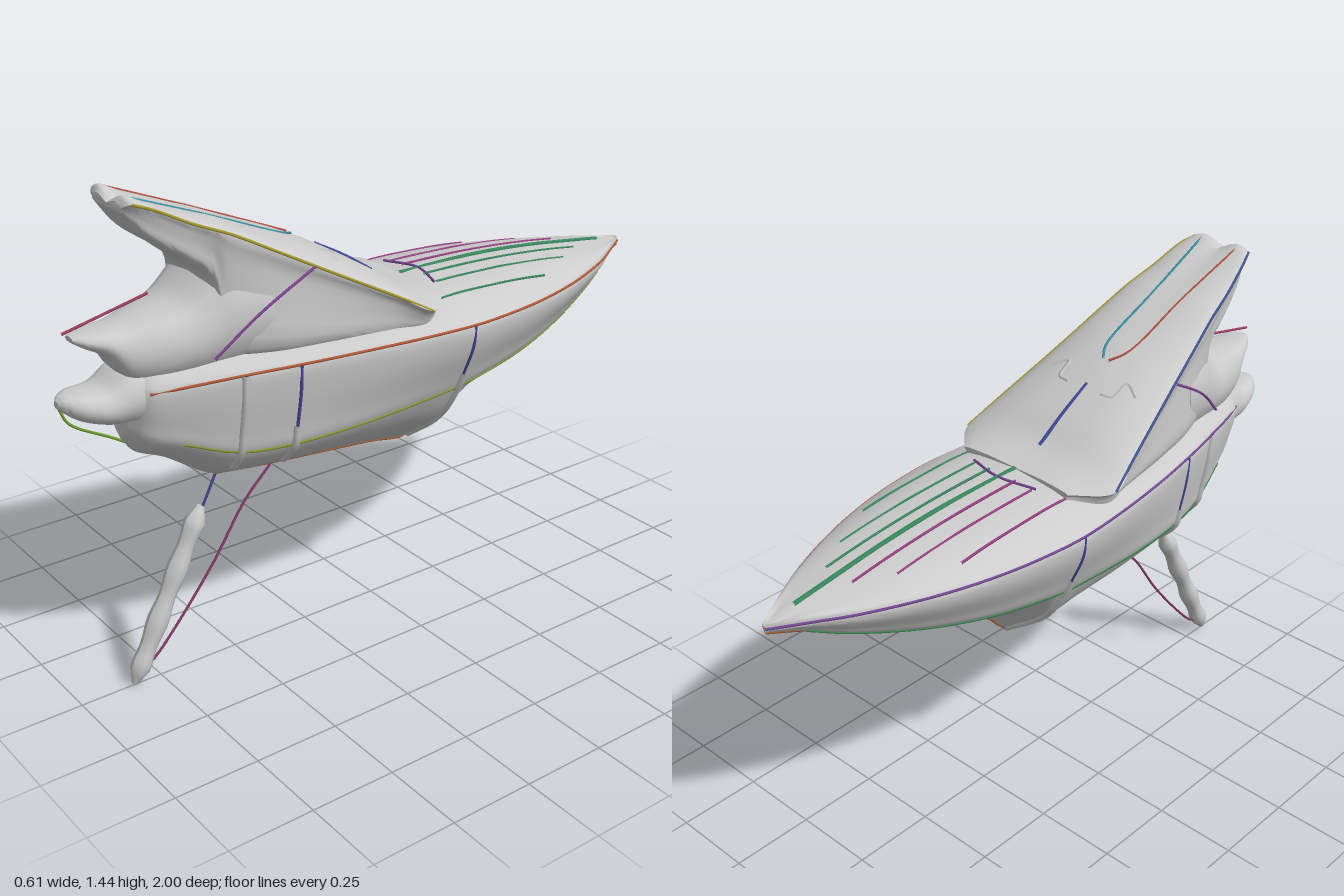
import * as THREE from 'three';
import { toCreasedNormals } from 'three/addons/utils/BufferGeometryUtils.js';

const grey = new THREE.MeshStandardMaterial({ color: 0xcccccc });
const V = (x, y, z) => new THREE.Vector3(x, y, z);

// Skin over mirrored half sections, each running from top centre to bottom centre.
// Stations are ordered by increasing z: { z, half: [[x, y], ...] }.
function loft(stations, nz = 48, nh = 24) {
  const rings = stations.map(({ z, half }) => {
    const c = new THREE.CatmullRomCurve3(half.map(([x, y]) => V(x, y, z)));
    const right = Array.from({ length: nh + 1 }, (_, i) => c.getPoint(i / nh));
    const left = right.slice(1, -1).reverse().map(p => V(-p.x, p.y, p.z));
    return [...right, ...left];
  });
  const n = rings[0].length;
  const rails = rings[0].map((_, j) => new THREE.CatmullRomCurve3(rings.map(r => r[j])));
  const pos = [], idx = [];
  for (let i = 0; i <= nz; i++) for (const r of rails) pos.push(...r.getPoint(i / nz).toArray());
  for (let i = 0; i < nz; i++) for (let j = 0; j < n; j++) {
    const a = i * n + j, b = i * n + (j + 1) % n;
    idx.push(a, a + n, b, b, a + n, b + n);
  }
  // end caps
  [0, nz].forEach(i => {
    const c = V(0, 0, 0), k = pos.length / 3;
    for (let j = 0; j < n; j++) c.add(V().fromArray(pos, (i * n + j) * 3));
    pos.push(...c.divideScalar(n).toArray());
    for (let j = 0; j < n; j++) {
      const a = i * n + j, b = i * n + (j + 1) % n;
      i ? idx.push(k, b, a) : idx.push(k, a, b);
    }
  });
  const g = new THREE.BufferGeometry();
  g.setAttribute('position', new THREE.Float32BufferAttribute(pos, 3));
  g.setIndex(idx);
  return toCreasedNormals(g, 0.6);
}

function add(parent, name, geometry, material = grey) {
  const m = new THREE.Mesh(geometry, material);
  m.name = name;
  parent.add(m);
  return m;
}

// Tube along a path: thin and coloured for seams, thicker for ribs.
function line(parent, name, points, color, r = 0.004) {
  const curve = new THREE.CatmullRomCurve3(points.map(p => V(...p)));
  return add(parent, name, new THREE.TubeGeometry(curve, 40, r, 5),
    new THREE.MeshStandardMaterial({ color }));
}
function pair(parent, name, pts, colorL, colorR, r) {
  line(parent, name + 'Left', pts, colorL, r);
  line(parent, name + 'Right', pts.map(([x, y, z]) => [-x, y, z]), colorR, r);
}

export function createModel() {
  const model = new THREE.Group();
  model.name = 'boat';

  // Hull: z, half width, deck centre y, rim y, chine x, chine y, keel y, fullness below the chine
  const hull = [
    [-0.995, 0.004, 0.955, 0.948, 0.003, 0.942, 0.935, 0.5],
    [-0.9, 0.065, 0.972, 0.95, 0.045, 0.915, 0.893, 0.5],
    [-0.8, 0.125, 0.985, 0.95, 0.085, 0.875, 0.845, 0.52],
    [-0.6, 0.213, 1.01, 0.95, 0.15, 0.815, 0.76, 0.52],
    [-0.4, 0.27, 1.025, 0.95, 0.2, 0.775, 0.675, 0.52],
    [-0.22, 0.296, 1.03, 0.95, 0.225, 0.75, 0.58, 0.55],
    [-0.14, 0.3, 1.03, 0.95, 0.23, 0.74, 0.505, 0.66],
    [0, 0.292, 1.02, 0.95, 0.225, 0.725, 0.52, 0.68],
    [0.2, 0.268, 1.0, 0.95, 0.215, 0.71, 0.54, 0.68],
    [0.4, 0.228, 1.0, 0.945, 0.19, 0.7, 0.56, 0.68],
    [0.55, 0.19, 1.0, 0.94, 0.155, 0.705, 0.58, 0.7],
    [0.7, 0.145, 1.0, 0.93, 0.115, 0.755, 0.675, 0.7],
    [0.79, 0.108, 0.99, 0.92, 0.08, 0.785, 0.72, 0.7],
    [0.825, 0.06, 0.96, 0.9, 0.04, 0.81, 0.765, 0.7],
  ];
  const hullHalf = ([, w, yd, yr, cx, cy, yk, f]) => [
    [0, yd], [w * 0.6, yd - (yd - yr) * 0.25], [w * 0.94, yr + 0.015], [w, yr],
    [w * 0.98, yr - (yr - cy) * 0.3], [w * 0.35 + cx * 0.65, cy + (yr - cy) * 0.25], [cx, cy],
    [cx * f, cy - (cy - yk) * 0.5], [0, yk]];
  add(model, 'hull', loft(hull.map(r => ({ z: r[0], half: hullHalf(r) })), 78, 32));

  // Upright ribs and seams on the hull sides
  [[6, 5, 9], [9, 5, 8], [10, 3, 8]].forEach(([row, from, to]) => {
    const pts = hullHalf(hull[row]).map(([x, y]) => [x, y, hull[row][0]]);
    pair(model, 'hullRib', pts.slice(from, to), 0xcccccc, 0xcccccc, 0.012);
    pair(model, 'hullSeam', pts.slice(3, 7), 0x4a4a98, 0x4a4a98, 0.005);
  });

  // Sloping canopy with its body: z, half width, centre y, crown y, edge y, lower width, base y
  const canopy = [
    [-0.1, 0.2, 1.03, 1.03, 1.02, 0.19, 0.97],
    [0, 0.285, 1.06, 1.055, 1.02, 0.25, 0.96],
    [0.1, 0.262, 1.125, 1.115, 1.075, 0.235, 0.96],
    [0.3, 0.218, 1.235, 1.22, 1.18, 0.205, 0.95],
    [0.45, 0.187, 1.295, 1.29, 1.26, 0.178, 0.95],
    [0.56, 0.164, 1.34, 1.34, 1.318, 0.14, 0.97],
    [0.6, 0.156, 1.355, 1.355, 1.335, 0.13, 1.19],
    [0.66, 0.143, 1.375, 1.38, 1.36, 0.125, 1.25],
    [0.76, 0.118, 1.41, 1.42, 1.41, 0.1, 1.325],
    [0.805, 0.1, 1.415, 1.44, 1.425, 0.08, 1.38],
    [0.82, 0.08, 1.41, 1.425, 1.415, 0.07, 1.4],
  ];
  add(model, 'canopy', loft(canopy.map(([z, w, yc, yr, ye, wb, yb]) => ({
    z, half: [[0, yc], [w * 0.6, yr], [w, ye], [w * 0.96, ye - (ye - yb) * 0.15],
      [w * 0.3 + wb * 0.7, ye - (ye - yb) * 0.5], [wb, yb + (ye - yb) * 0.12], [wb * 0.7, yb], [0, yb]],
  })), 60));

  // Upper and lower bow lips: z, half width, top y, bottom y
  const lip = rows => loft(rows.map(([z, w, t, b]) => ({
    z, half: [[0, t], [w * 0.75, t - (t - b) * 0.1], [w, (t + b) / 2],
      [w * 0.75, b + (t - b) * 0.1], [0, b]],
  })), 30, 12);
  add(model, 'upperBow', lip([[0.45, 0.185, 1.25, 0.93], [0.55, 0.17, 1.23, 0.93],
    [0.6, 0.158, 1.185, 0.93], [0.66, 0.145, 1.135, 0.93], [0.75, 0.118, 1.11, 0.93],
    [0.82, 0.092, 1.095, 0.95], [0.87, 0.07, 1.09, 1.02], [0.92, 0.045, 1.088, 1.05],
    [0.95, 0.02, 1.085, 1.07]]));
  add(model, 'lowerBow', lip([[0.72, 0.115, 1.0, 0.82], [0.82, 0.098, 0.97, 0.83],
    [0.88, 0.085, 0.935, 0.835], [0.95, 0.062, 0.935, 0.86], [0.985, 0.035, 0.93, 0.885], [1, 0.012, 0.92, 0.9]]));

  // Lumpy blade hanging under the bow
  const length = 0.545;
  const bladeGeo = new THREE.CylinderGeometry(1, 1, length, 10, 24);
  const p = bladeGeo.attributes.position;
  for (let i = 0; i < p.count; i++) {
    const t = p.getY(i) / length + 0.5;
    const r = 0.029 * Math.min(1, 0.3 + t * 7, 0.4 + (1 - t) * 7) * (1 + 0.12 * Math.sin(t * 22));
    p.setX(i, p.getX(i) * r);
    p.setZ(i, p.getZ(i) * r * 0.95);
  }
  bladeGeo.computeVertexNormals();
  const blade = add(model, 'blade', bladeGeo);
  blade.position.set(0, 0.248, 0.715);
  blade.rotation.x = -0.46;

  // Stays holding the blade, and lines of the bow and keel
  line(model, 'straightStay', [[0, 0.58, 0.54], [0, 0.03, 0.82]], 0x4a4a90);
  line(model, 'curvedStay', [[0, 0.55, 0.36], [0, 0.46, 0.45], [0, 0.3, 0.56], [0, 0.13, 0.7],
    [0, 0.06, 0.77], [0, 0.03, 0.83]], 0x8a3a70);
  line(model, 'keelLine', hull.slice(0, 11).map(r => [0, r[6], r[0]]), 0xb06030);
  line(model, 'bowLine', [[0, 0.58, 0.54], [0, 0.77, 0.84], [0, 0.85, 0.97], [0, 0.9, 0.995]], 0x70a030);
  line(model, 'bowRod', [[0, 1.095, 0.97], [0, 1.15, 0.72]], 0xa04060);

  // Seams along rim, chine and canopy
  pair(model, 'rimLine', hull.slice(0, 13).map(r => [r[1], r[3], r[0]]), 0xb85c38, 0x7a4a9a);
  pair(model, 'chineLine', hull.slice(1, 12).map(r => [r[4], r[5], r[0]]), 0x8a9a30, 0x3a8a50);
  pair(model, 'canopyEdge', canopy.slice(1, 10).map(r => [r[1], r[4], r[0]]), 0xa89a30, 0x405a98);
  pair(model, 'canopyRib', [[0.01, 1.227, 0.28], [0.04, 1.245, 0.33], [0.05, 1.34, 0.56],
    [0.065, 1.435, 0.8]], 0x3a90a8, 0xb05040);
  line(model, 'canopySpine', [[0, 1.06, 0], [0, 1.125, 0.1], [0, 1.18, 0.2]], 0x404a98, 0.006);
  pair(model, 'canopyBracket', [[0.06, 1.17, 0.19], [0.1, 1.17, 0.2], [0.11, 1.195, 0.25],
    [0.16, 1.175, 0.23]], 0xcccccc, 0xcccccc, 0.008);
  pair(model, 'canopySideSeam', [[0.212, 1.2, 0.34], [0.19, 1.1, 0.5], [0.155, 0.99, 0.62]], 0x8a4aa0, 0x8a4aa0);

  // Deck strips
  const deckY = (x, z) => {
    const i = hull.findIndex(r => r[0] >= z), a = hull[i - 1], b = hull[i];
    const k = (z - a[0]) / (b[0] - a[0]), mix = c => a[c] + (b[c] - a[c]) * k;
    return mix(2) - (mix(2) - mix(3)) * 0.7 * (x / mix(1)) ** 2;
  };
  [[0.05, -0.75, -0.15], [0.11, -0.65, -0.15], [0.19, -0.5, -0.08]].forEach(([x, z0, z1], i) => {
    const pts = Array.from({ length: 7 }, (_, k) => z0 + (z1 - z0) * k / 6).map(z => [x, deckY(x, z), z]);
    pair(model, 'deckStrip' + (i + 1), pts, 0x3a8a60, 0x9a4088);
  });
  line(model, 'deckRidge', [-0.9, -0.6, -0.4, -0.1].map(z => [0, deckY(0, z), z]), 0x3a8a60, 0.008);
  line(model, 'deckArc', [[-0.12, 1.025, -0.14], [0, 1.032, -0.17], [0.12, 1.025, -0.14]], 0x7a4a9a);
  return model;
}
